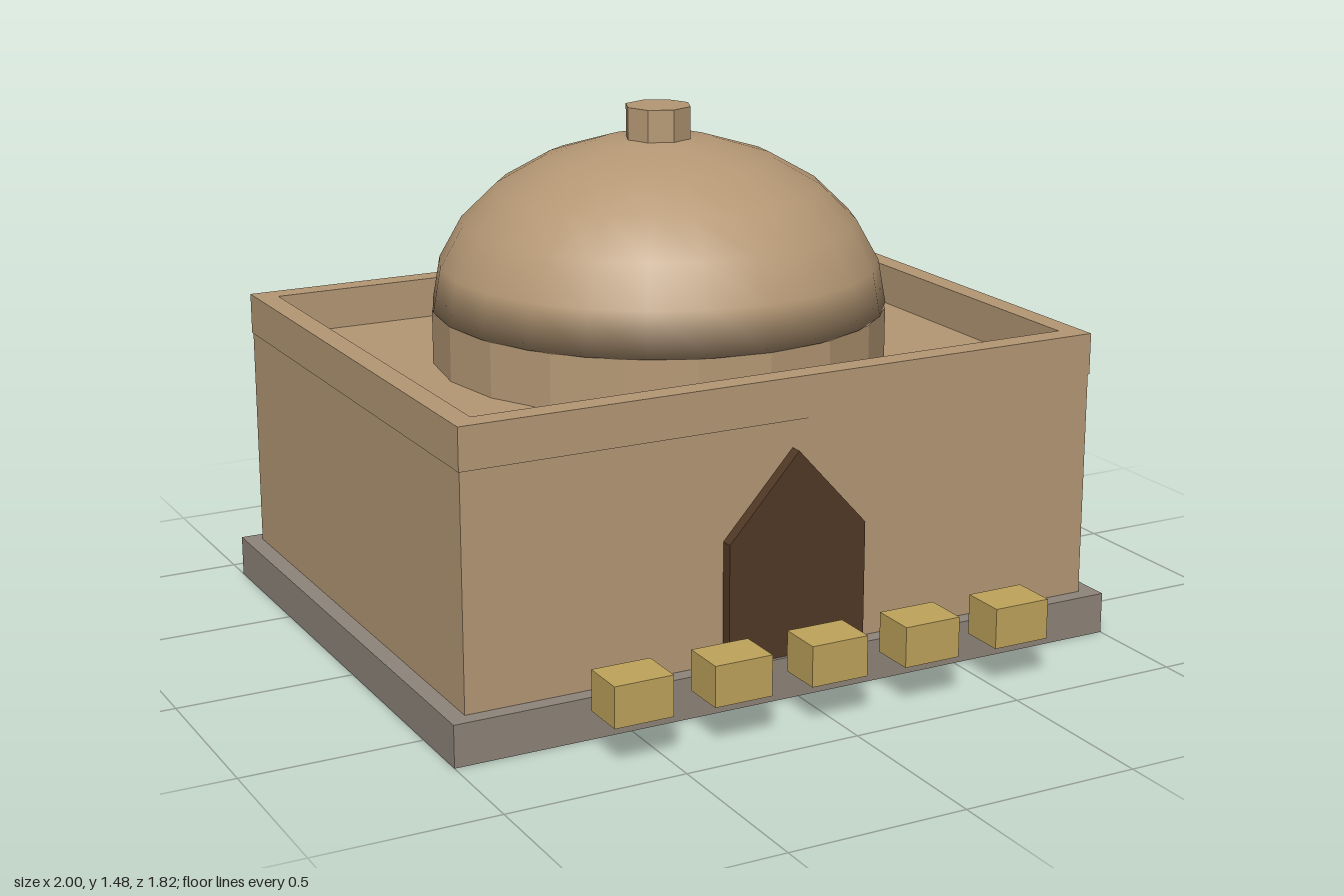
import * as THREE from 'three';

const material = (name, color, extra = {}) => {
  const m = new THREE.MeshStandardMaterial({ color, ...extra });
  m.name = name;
  return m;
};

export function createModel() {
  const group = new THREE.Group();
  const sand = material('sandstone', 0xb59875);
  const stone = material('grey stone', 0x8e857a);
  const wood = material('dark wood', 0x523926);
  const straw = material('straw yellow', 0xbfa45b);
  const cz = -0.105; // centre of the building in z

  const add = (name, geometry, mat, x, y, z) => {
    const mesh = new THREE.Mesh(geometry, mat);
    mesh.name = name;
    mesh.position.set(x, y, z);
    group.add(mesh);
    return mesh;
  };
  const box = (name, w, y0, y1, d, mat, x, z) =>
    add(name, new THREE.BoxGeometry(w, y1 - y0, d), mat, x, (y0 + y1) / 2, z);
  const prism = (name, r, y0, y1, sides) =>
    add(name, new THREE.CylinderGeometry(r, r, y1 - y0, sides).toNonIndexed(), sand, 0, (y0 + y1) / 2, cz)
      .geometry.computeVertexNormals();

  // Plinth and walls
  box('plinth', 2, 0, 0.117, 1.61, stone, 0, cz);
  box('walls', 1.9, 0.117, 0.76, 1.52, sand, 0, cz);

  // Parapet: a rectangular ring around the sunken roof
  const rect = (Type, w, d) => new Type([[-w, -d], [w, -d], [w, d], [-w, d]].map(p => new THREE.Vector2(...p)));
  const ring = rect(THREE.Shape, 0.953, 0.763);
  ring.holes.push(rect(THREE.Path, 0.89, 0.697));
  const parapet = new THREE.ExtrudeGeometry(ring, { depth: 0.117, bevelEnabled: false });
  parapet.rotateX(-Math.PI / 2);
  add('parapet', parapet, sand, 0, 0.76, cz);

  // Faceted drum, smooth dome with closed underside, and finial
  prism('drum', 0.645, 0.76, 0.915, 20);
  const profile = [new THREE.Vector2(0, 0)];
  for (let i = 0; i <= 6; i++) {
    const a = (i / 6) * Math.PI / 2;
    profile.push(new THREE.Vector2(i === 6 ? 0 : 0.645 * Math.cos(a), 0.48 * Math.sin(a)));
  }
  add('dome', new THREE.LatheGeometry(profile, 24), sand, 0, 0.915, cz);
  prism('finial', 0.095, 1.37, 1.477, 8);

  // Pointed doorway
  const arch = new THREE.Shape([[-0.207, 0], [0.207, 0], [0.207, 0.34], [0, 0.568], [-0.207, 0.34]]
    .map(p => new THREE.Vector2(...p)));
  add('doorway', new THREE.ExtrudeGeometry(arch, { depth: 0.04, bevelEnabled: false }), wood, 0, 0.117, 0.65);

  // Row of blocks in front of the plinth
  for (let i = -2; i <= 2; i++) box('frontBlock', 0.167, 0.117, 0.23, 0.13, straw, i * 0.286, 0.845);

  return group;
}
